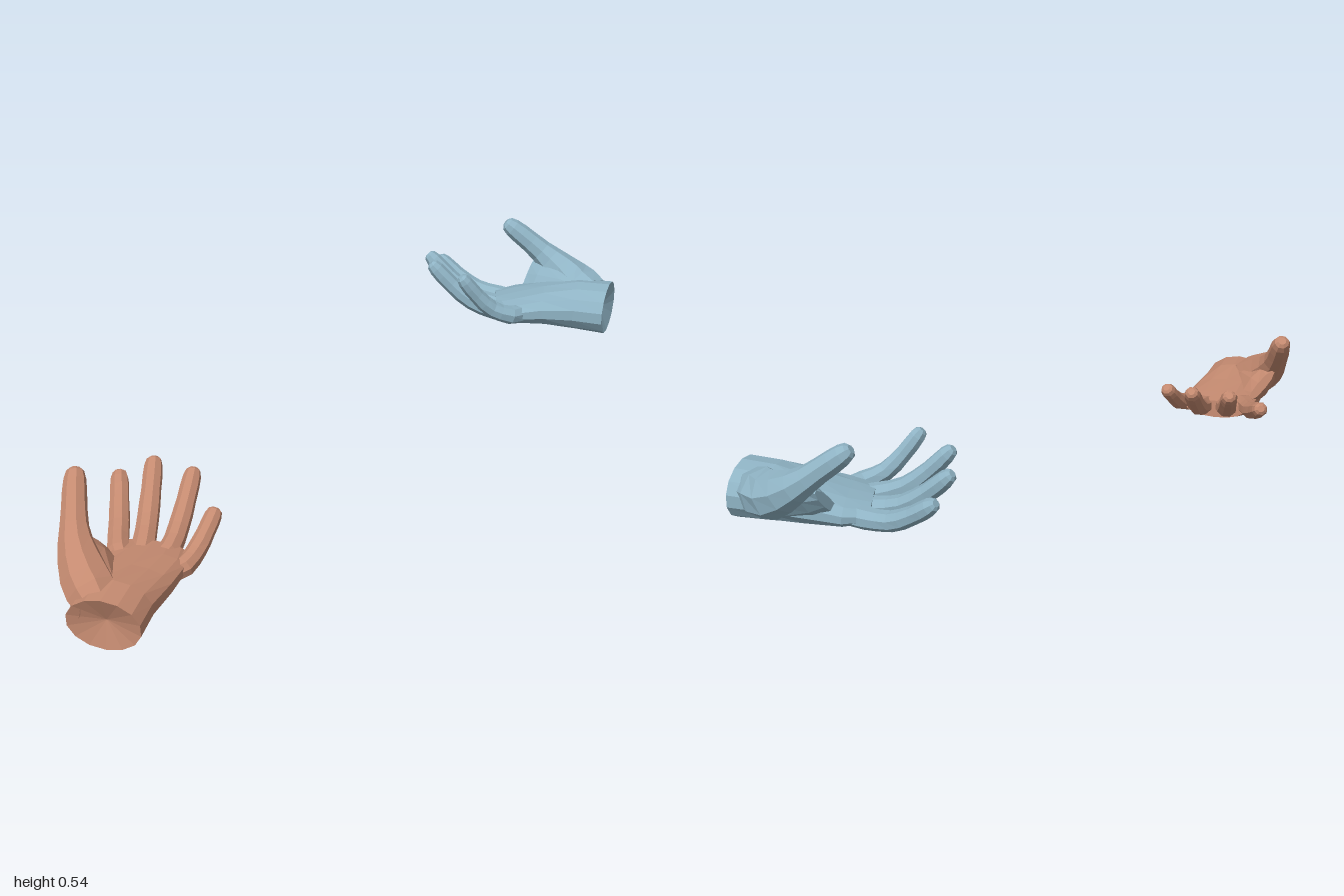
import * as THREE from 'three';

const V = (a) => new THREE.Vector3(...a);

// Closed skin over rings; each section has centre c, half-width a, half-height b, and cup (hollow of the upper side).
// The first cap is sunk inwards by recess.
function loft(sections, across, sides, recess = 0) {
  const pos = [], idx = [], n = sections.length;
  sections.forEach((s, i) => {
    const t = sections[Math.min(i + 1, n - 1)].c.clone().sub(sections[Math.max(i - 1, 0)].c).normalize();
    if (s.t) t.copy(s.t);
    const u = across.clone().addScaledVector(t, -across.dot(t)).normalize();
    const v = t.clone().cross(u);
    for (let j = 0; j < sides; j++) {
      const ang = ((j + 0.5) / sides) * Math.PI * 2, cs = Math.cos(ang), sn = Math.sin(ang);
      const hollow = sn > 0 ? 1 - (s.cup || 0) * (1 - cs * cs) : 1;
      const p = s.c.clone().addScaledVector(u, s.a * cs).addScaledVector(v, s.b * sn * hollow);
      pos.push(p.x, p.y, p.z);
    }
  });
  for (let i = 0; i < n - 1; i++) for (let j = 0; j < sides; j++) {
    const k = (j + 1) % sides, a = i * sides + j, b = i * sides + k;
    idx.push(a, b, b + sides, a, b + sides, a + sides);
  }
  // end caps
  const inward = sections[1].c.clone().sub(sections[0].c).setLength(recess);
  const first = sections[0].c.clone().add(inward), last = sections[n - 1].c, e = (n - 1) * sides;
  pos.push(first.x, first.y, first.z, last.x, last.y, last.z);
  for (let j = 0; j < sides; j++) {
    const k = (j + 1) % sides;
    idx.push(n * sides, k, j, n * sides + 1, e + j, e + k);
  }
  const g = new THREE.BufferGeometry();
  g.setAttribute('position', new THREE.Float32BufferAttribute(pos, 3));
  g.setIndex(idx);
  g.computeVertexNormals();
  return g;
}

// Tapered digit along a curve with a rounded end; radii are spread evenly from root to tip
function digit(points, radii, across, flat) {
  const curve = new THREE.CatmullRomCurve3(points);
  const steps = [0, 0.12, 0.25, 0.38, 0.5, 0.62, 0.74, 0.85, 0.93, 0.98, 1];
  const sections = steps.map((s) => {
    const f = s * (radii.length - 1), i = Math.min(Math.floor(f), radii.length - 2);
    let r = THREE.MathUtils.lerp(radii[i], radii[i + 1], f - i);
    if (s > 0.9) r *= s > 0.99 ? 0.45 : s > 0.95 ? 0.8 : 0.97;
    return { c: curve.getPoint(s), t: curve.getTangent(s), a: r, b: r * flat };
  });
  return loft(sections, across, 8);
}

const toSections = (rows) => rows.map(([x, y, z, a, b, cup]) => ({ c: V([x, y, z]), a, b, cup }));
const FINGERS = ['indexFinger', 'middleFinger', 'ringFinger', 'littleFinger'];

function makeHand(h) {
  const hand = new THREE.Group();
  hand.name = h.name;
  const material = new THREE.MeshStandardMaterial({ color: h.color, flatShading: true });
  const across = V(h.across).normalize();
  const add = (name, geometry) => {
    const m = new THREE.Mesh(geometry, material);
    m.name = name;
    hand.add(m);
  };

  // wrist and palm
  const palm = toSections(h.palm);
  add('palm', loft(palm, across, 14, 0.025));

  // fingers: rooted inside the palm, sagging a little before curling up
  const core = palm[2].c;
  h.fingers.forEach(([base, tip, sag], i) => {
    const size = [1, 1.03, 1, 0.94][i], b = V(base), t = V(tip);
    const root = b.clone().lerp(core, 0.45);
    root.y -= 0.01;
    const mid = b.clone().lerp(t, 0.4), far = b.clone().lerp(t, 0.74);
    mid.y -= sag;
    far.y -= sag * 0.7;
    const end = t.clone().addScaledVector(t.clone().sub(far).normalize(), 0.018);
    const radii = [0.028, 0.032, 0.031, 0.028, 0.029, 0.026, 0.026, 0.024].map((r) => r * size);
    add(FINGERS[i], digit([root, b, mid, far, end], radii, across, 0.94));
  });

  // thumb with its fleshy root
  add('thumb', digit(h.thumb.map(V), [0.06, 0.069, 0.064, 0.052, 0.039, 0.034, 0.032, 0.028], across, 0.97));

  // web of skin from the thumb to the index knuckle, thinning to its edge
  add('thumbWeb', loft(toSections(h.web), V(h.webAcross).normalize(), 10));
  return hand;
}

export function createModel() {
  const model = new THREE.Group();
  model.name = 'pairOfHands';
  model.add(makeHand({
    name: 'rightHand', color: 0xc48a70, across: [-0.78, 0, -0.62],
    palm: [
      [-0.926, 0.077, 0.517, 0.1, 0.076, 0],
      [-0.867, 0.088, 0.45, 0.1, 0.071, 0],
      [-0.797, 0.096, 0.378, 0.11, 0.059, 0.15],
      [-0.735, 0.102, 0.315, 0.111, 0.045, 0.2],
      [-0.692, 0.107, 0.27, 0.092, 0.028, 0.1],
    ],
    fingers: [
      [[-0.785, 0.113, 0.245], [-0.694, 0.199, 0.016], 0.012],
      [[-0.72, 0.115, 0.255], [-0.61, 0.238, 0.055], 0.018],
      [[-0.67, 0.11, 0.305], [-0.535, 0.23, 0.145], 0.02],
      [[-0.655, 0.1, 0.375], [-0.54, 0.185, 0.298], 0.015],
    ],
    thumb: [[-0.915, 0.1, 0.455], [-0.922, 0.142, 0.385], [-0.916, 0.202, 0.305], [-0.893, 0.262, 0.238], [-0.862, 0.336, 0.17]],
    webAcross: [-0.8, 0.55, 0.35],
    web: [
      [-0.915, 0.087, 0.48, 0.06, 0.06],
      [-0.893, 0.12, 0.37, 0.085, 0.055],
      [-0.865, 0.147, 0.295, 0.075, 0.034],
      [-0.852, 0.158, 0.26, 0.06, 0.014],
    ],
  }));
  model.add(makeHand({
    name: 'leftHand', color: 0x8fb3c4, across: [-0.62, 0, 0.78],
    palm: [
      [0.933, 0.337, -0.121, 0.103, 0.075, 0],
      [0.867, 0.338, -0.185, 0.104, 0.071, 0],
      [0.79, 0.334, -0.25, 0.11, 0.06, 0.15],
      [0.715, 0.324, -0.3, 0.115, 0.045, 0.2],
      [0.662, 0.32, -0.328, 0.098, 0.028, 0.1],
    ],
    fingers: [
      [[0.71, 0.317, -0.395], [0.599, 0.395, -0.556], 0.022],
      [[0.665, 0.315, -0.345], [0.53, 0.435, -0.5], 0.025],
      [[0.635, 0.322, -0.285], [0.482, 0.45, -0.395], 0.025],
      [[0.645, 0.33, -0.215], [0.507, 0.45, -0.257], 0.024],
    ],
    thumb: [[0.92, 0.352, -0.19], [0.905, 0.372, -0.278], [0.87, 0.42, -0.355], [0.82, 0.474, -0.402], [0.757, 0.533, -0.446]],
    webAcross: [-0.83, -0.5, -0.25],
    web: [
      [0.92, 0.342, -0.165, 0.06, 0.06],
      [0.87, 0.358, -0.275, 0.085, 0.055],
      [0.825, 0.368, -0.345, 0.077, 0.034],
      [0.802, 0.372, -0.377, 0.06, 0.014],
    ],
  }));
  return model;
}
